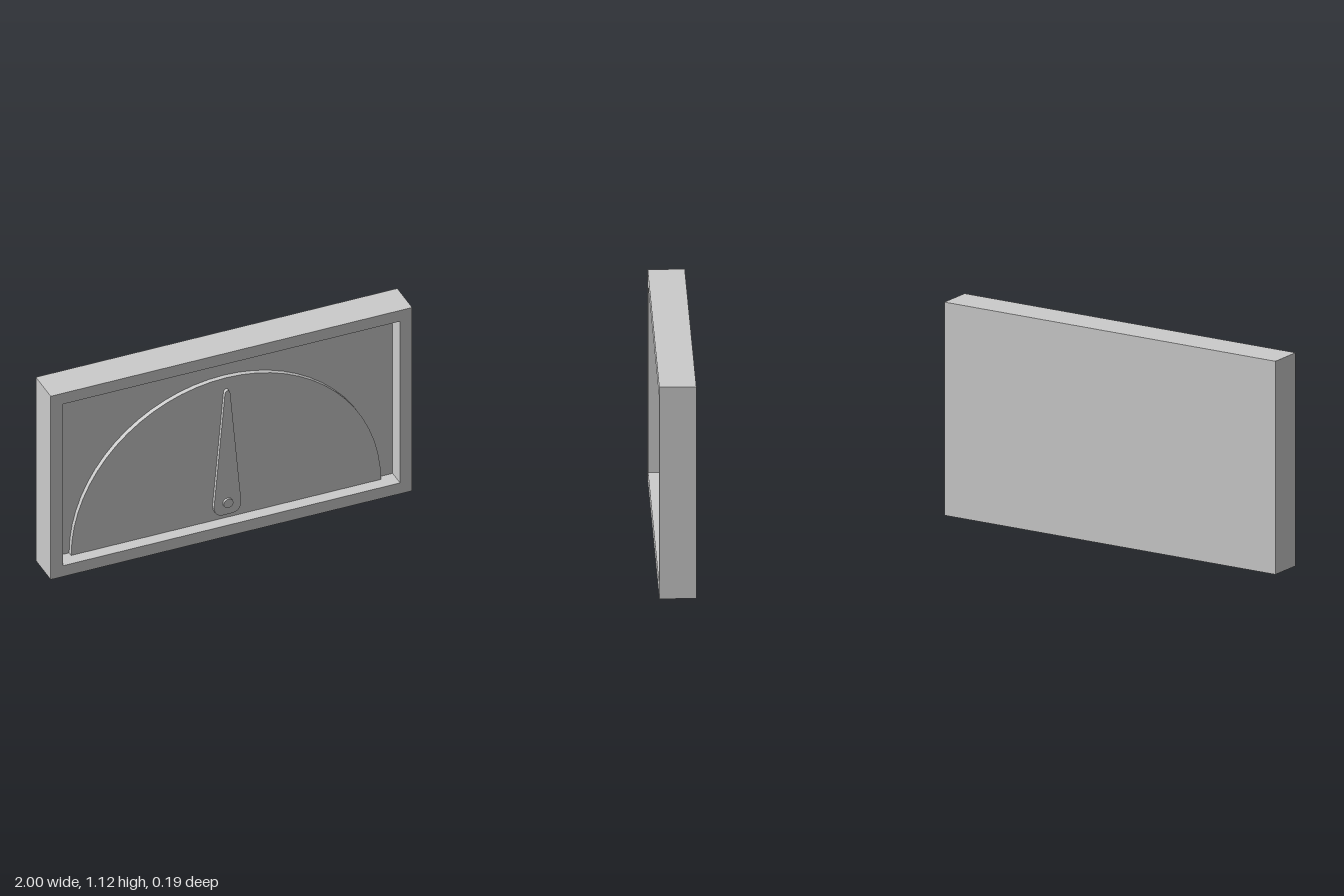
import * as THREE from 'three';

const W = 2, H = 1.125, D = 0.188, RIM = 0.067;

export function createModel() {
  const group = new THREE.Group();
  const material = new THREE.MeshStandardMaterial({ color: 0xcccccc, flatShading: true });

  const add = (name, geometry, x, y, z) => {
    const mesh = new THREE.Mesh(geometry, material);
    mesh.name = name;
    mesh.position.set(x, y, z);
    group.add(mesh);
    return mesh;
  };
  const extrude = (shape, depth, curveSegments) =>
    new THREE.ExtrudeGeometry(shape, { depth, curveSegments, bevelEnabled: false });
  const rect = (Type, x, y0, y1) => new Type([
    new THREE.Vector2(-x, y0), new THREE.Vector2(x, y0),
    new THREE.Vector2(x, y1), new THREE.Vector2(-x, y1),
  ]);

  // Solid rear half of the case
  add('backPanel', new THREE.BoxGeometry(W, H, D / 2), 0, H / 2, -D / 4);

  // Raised rim around the recess
  const rim = rect(THREE.Shape, W / 2, 0, H);
  rim.holes.push(rect(THREE.Path, W / 2 - RIM, RIM, H - RIM));
  add('frame', extrude(rim, D / 2, 1), 0, 0, 0);

  // Half-round dial plate, sixteen facets
  const dial = new THREE.Shape();
  dial.absarc(0, 0, 0.857, 0, Math.PI, false);
  add('dial', extrude(dial, 0.026, 16), 0, RIM, 0);

  // Tapered pointer with a rounded foot and tip
  const needle = new THREE.Shape();
  needle.moveTo(-0.03, 0.1);
  needle.lineTo(0.03, 0.1);
  needle.quadraticCurveTo(0.075, 0.105, 0.075, 0.16);
  needle.lineTo(0.015, 0.835);
  needle.quadraticCurveTo(0.012, 0.857, 0, 0.857);
  needle.quadraticCurveTo(-0.012, 0.857, -0.015, 0.835);
  needle.lineTo(-0.075, 0.16);
  needle.quadraticCurveTo(-0.075, 0.105, -0.03, 0.1);
  add('needle', extrude(needle, 0.02, 5), 0, 0, 0.026);

  // Pivot pin at the needle's foot
  const pin = add('pivot', new THREE.CylinderGeometry(0.027, 0.027, 0.02, 16), 0, 0.172, 0.048);
  pin.rotation.x = Math.PI / 2;

  return group;
}
